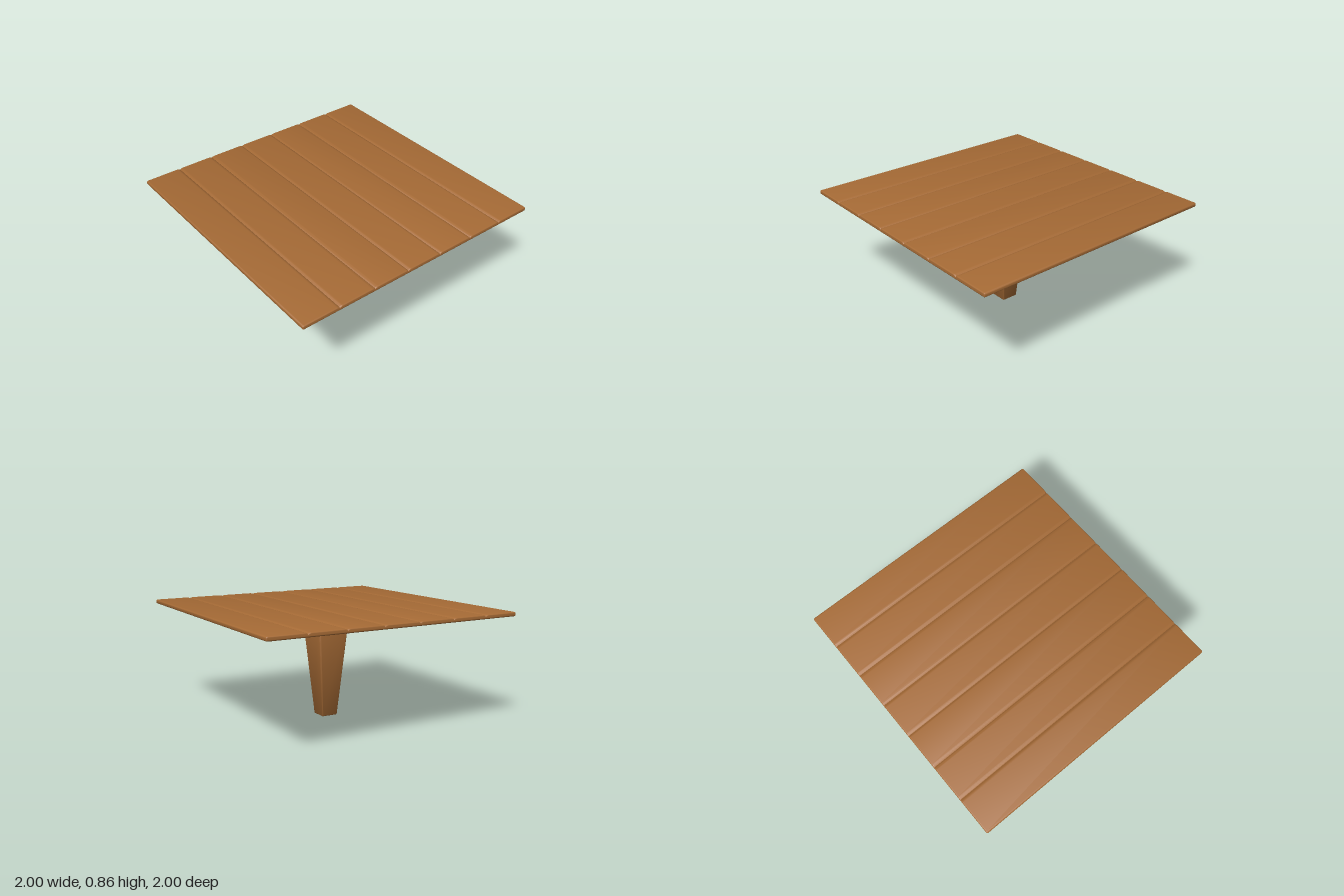
import * as THREE from 'three';
import { toCreasedNormals } from 'three/addons/utils/BufferGeometryUtils.js';
import { RoundedBoxGeometry } from 'three/addons/geometries/RoundedBoxGeometry.js';

const TOP = 0.857, UNDER = 0.825, HALF = 1, PLANKS = 7;

// Plank top: cross-section with shallow grooves, run along x
function tabletopGeometry() {
  const r = 0.012, bevel = 0.008, groove = 0.026, depth = 0.009;
  const s = new THREE.Shape();
  s.moveTo(-HALF + r, UNDER);
  s.lineTo(HALF - r, UNDER);
  s.quadraticCurveTo(HALF, UNDER, HALF, UNDER + r);
  s.lineTo(HALF, TOP - r);
  s.quadraticCurveTo(HALF, TOP, HALF - r, TOP);
  for (let i = PLANKS - 1; i > 0; i--) {
    const c = -HALF + (2 * HALF * i) / PLANKS;
    s.lineTo(c + groove, TOP);
    s.quadraticCurveTo(c + groove * 0.4, TOP, c, TOP - depth);
    s.quadraticCurveTo(c - groove * 0.4, TOP, c - groove, TOP);
  }
  s.lineTo(-HALF + r, TOP);
  s.quadraticCurveTo(-HALF, TOP, -HALF, TOP - r);
  s.lineTo(-HALF, UNDER + r);
  s.quadraticCurveTo(-HALF, UNDER, -HALF + r, UNDER);

  const length = 2 * (HALF - bevel);
  const geo = new THREE.ExtrudeGeometry(s, {
    depth: length, curveSegments: 4, bevelEnabled: true,
    bevelThickness: bevel, bevelSize: bevel, bevelOffset: -bevel, bevelSegments: 3,
  });
  geo.translate(0, 0, -length / 2);
  geo.rotateY(Math.PI / 2);
  return toCreasedNormals(geo, 0.6);
}

// Square pedestal, widening upwards, with softened edges
function pedestalGeometry() {
  const height = UNDER + 0.012, bottom = 0.065, top = 0.139;
  const geo = new RoundedBoxGeometry(2 * bottom, height, 2 * bottom, 2, 0.007);
  geo.translate(0, height / 2, 0);
  const p = geo.attributes.position;
  for (let i = 0; i < p.count; i++) {
    const k = THREE.MathUtils.lerp(1, top / bottom, p.getY(i) / height);
    p.setX(i, p.getX(i) * k);
    p.setZ(i, p.getZ(i) * k);
  }
  return toCreasedNormals(geo, 0.6);
}

export function createModel() {
  const wood = new THREE.MeshStandardMaterial({ color: 0xa56a35 });
  wood.name = 'warm wood';

  const group = new THREE.Group();
  group.name = 'pedestalTable';
  const add = (name, geo) => {
    const mesh = new THREE.Mesh(geo, wood);
    mesh.name = name;
    group.add(mesh);
  };
  add('tabletop', tabletopGeometry());
  add('pedestal', pedestalGeometry());
  return group;
}
